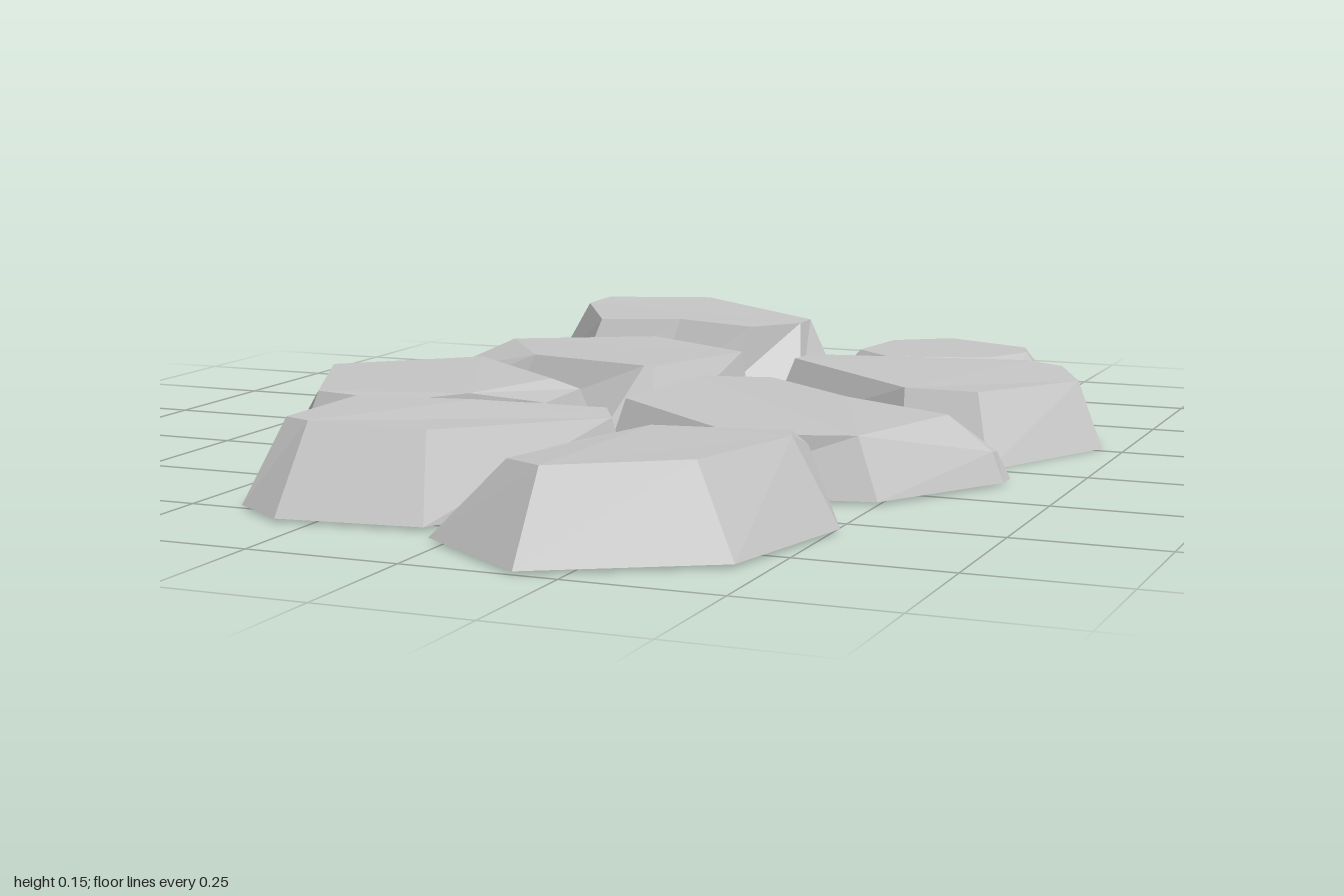
import * as THREE from 'three';

const stoneGrey = new THREE.MeshStandardMaterial({ color: 0xc6c6c6, flatShading: true });
stoneGrey.name = 'stoneGrey';

// One faceted stone. rim rows: [base x, base z, top x, top z, top y], clockwise from above.
// crown: extra points [x, z, y] on the top; caps: top facets as indices into rim + crown.
function stone(name, baseY, rim, crown = [], caps = [rim.map((_, i) => i)]) {
  const base = rim.map(([x, z]) => new THREE.Vector3(x, baseY, z));
  const top = [...rim.map((r) => r.slice(2)), ...crown].map(([x, z, y]) => new THREE.Vector3(x, y, z));
  const verts = [];
  const tri = (a, b, c) => verts.push(...a.toArray(), ...b.toArray(), ...c.toArray());

  // fill a polygon, facing up (1) or down (-1)
  const fill = (poly, facing) => {
    const flat = poly.map((p) => new THREE.Vector2(p.x, p.z));
    for (const [i, j, k] of THREE.ShapeUtils.triangulateShape(flat, [])) {
      const [a, b, c] = [poly[i], poly[j], poly[k]];
      const up = (b.z - a.z) * (c.x - a.x) - (b.x - a.x) * (c.z - a.z);
      if (up * facing > 0) tri(a, b, c);
      else tri(a, c, b);
    }
  };

  // sloping sides
  rim.forEach((_, i) => {
    const j = (i + 1) % rim.length;
    tri(base[i], top[i], base[j]);
    tri(top[i], top[j], base[j]);
  });
  fill(base, -1);
  caps.forEach((cap) => fill(cap.map((i) => top[i]), 1));

  const geometry = new THREE.BufferGeometry();
  geometry.setAttribute('position', new THREE.Float32BufferAttribute(verts, 3));
  geometry.computeVertexNormals();
  const mesh = new THREE.Mesh(geometry, stoneGrey);
  mesh.name = name;
  return mesh;
}

export function createModel() {
  const group = new THREE.Group();
  group.name = 'steppingStones';

  group.add(
    stone('backRightStone', 0.005, [
      [-0.30, -1.00, -0.29, -0.92, 0.15],
      [0.06, -0.75, 0.00, -0.74, 0.14],
      [0.03, -0.60, 0.00, -0.68, 0.14],
      [-0.12, -0.52, -0.07, -0.59, 0.14],
      [-0.26, -0.56, -0.23, -0.61, 0.145],
      [-0.43, -0.54, -0.39, -0.585, 0.14],
      [-0.59, -0.79, -0.50, -0.77, 0.145],
      [-0.54, -0.90, -0.49, -0.85, 0.15],
    ]),
    stone('smallBackStone', 0.03, [
      [0.26, -0.89, 0.26, -0.86, 0.10],
      [0.48, -0.81, 0.43, -0.79, 0.10],
      [0.50, -0.73, 0.45, -0.73, 0.10],
      [0.44, -0.58, 0.40, -0.63, 0.10],
      [0.18, -0.52, 0.22, -0.57, 0.10],
      [0.08, -0.62, 0.14, -0.64, 0.10],
      [0.13, -0.80, 0.16, -0.79, 0.10],
    ]),
    stone('backLeftStone', 0.005, [
      [0.33, -0.54, 0.33, -0.52, 0.10],
      [0.63, -0.46, 0.59, -0.45, 0.12],
      [0.71, -0.27, 0.66, -0.29, 0.12],
      [0.58, 0.00, 0.54, -0.07, 0.125],
      [0.42, -0.02, 0.41, -0.07, 0.125],
      [0.09, -0.25, 0.13, -0.29, 0.13],
      [0.10, -0.35, 0.14, -0.35, 0.13],
      [0.12, -0.46, 0.135, -0.45, 0.09],
    ], [[0.53, -0.43, 0.13]],
    [[6, 7, 0, 8], [0, 1, 8], [8, 1, 2, 3, 4, 5, 6]]),
    stone('middleRightStone', 0.005, [
      [-0.48, -0.47, -0.475, -0.465, 0.08],
      [-0.15, -0.49, -0.155, -0.485, 0.10],
      [0.03, -0.33, 0.01, -0.33, 0.13],
      [-0.04, 0.00, -0.07, -0.10, 0.13],
      [-0.14, 0.00, -0.09, -0.10, 0.13],
      [-0.40, -0.17, -0.36, -0.21, 0.12],
      [-0.63, -0.24, -0.62, -0.29, 0.06],
      [-0.63, -0.30, -0.61, -0.30, 0.06],
    ], [[-0.49, -0.39, 0.12], [-0.22, -0.46, 0.13]],
    [[7, 0, 8], [0, 1, 9, 8], [1, 2, 9], [8, 9, 2, 3, 4, 5], [5, 6, 7, 8]]),
    stone('outerRightStone', 0.01, [
      [-0.42, -0.15, -0.41, -0.12, 0.08],
      [-0.10, 0.06, -0.14, 0.07, 0.11],
      [-0.09, 0.25, -0.13, 0.23, 0.11],
      [-0.34, 0.39, -0.34, 0.36, 0.12],
      [-0.55, 0.35, -0.52, 0.32, 0.12],
      [-0.71, 0.06, -0.65, 0.04, 0.12],
      [-0.63, -0.06, -0.59, -0.06, 0.09],
    ], [[-0.41, -0.09, 0.13], [-0.18, 0.10, 0.13], [-0.24, 0.30, 0.13]],
    [[5, 6, 0, 7], [0, 1, 8, 7], [1, 2, 9, 8], [2, 3, 9], [7, 8, 9, 3, 4, 5]]),
    stone('middleLeftStone', 0.01, [
      [0.01, -0.11, 0.02, -0.09, 0.12],
      [0.17, -0.13, 0.16, -0.09, 0.125],
      [0.36, 0.01, 0.35, 0.06, 0.125],
      [0.64, 0.08, 0.62, 0.09, 0.055],
      [0.64, 0.12, 0.62, 0.12, 0.06],
      [0.50, 0.35, 0.46, 0.33, 0.11],
      [0.18, 0.42, 0.28, 0.39, 0.11],
      [-0.02, 0.24, 0.00, 0.19, 0.12],
    ], [[0.55, 0.14, 0.12]],
    [[2, 3, 8], [3, 4, 8], [4, 5, 8], [0, 1, 2, 8, 5, 6, 7]]),
    stone('frontRightStone', 0.01, [
      [-0.15, 0.30, -0.14, 0.31, 0.11],
      [0.02, 0.29, 0.01, 0.32, 0.115],
      [0.11, 0.41, 0.08, 0.43, 0.13],
      [-0.07, 0.79, -0.10, 0.72, 0.145],
      [-0.31, 0.82, -0.30, 0.73, 0.148],
      [-0.41, 0.75, -0.35, 0.71, 0.148],
      [-0.42, 0.50, -0.35, 0.49, 0.148],
    ], [[-0.16, 0.44, 0.146], [0.04, 0.36, 0.133]],
    [[6, 0, 7], [0, 1, 8, 7], [1, 2, 8], [7, 8, 2, 3, 4, 5, 6]]),
    stone('frontLeftStone', 0.01, [
      [0.18, 0.45, 0.18, 0.47, 0.12],
      [0.44, 0.46, 0.43, 0.48, 0.12],
      [0.51, 0.56, 0.44, 0.58, 0.15],
      [0.45, 0.84, 0.38, 0.81, 0.15],
      [0.18, 1.00, 0.17, 0.89, 0.14],
      [-0.03, 0.85, 0.08, 0.81, 0.13],
      [0.07, 0.64, 0.12, 0.69, 0.135],
    ], [[0.19, 0.53, 0.142], [0.42, 0.525, 0.148]],
    [[0, 1, 8, 7], [1, 2, 8], [6, 0, 7], [7, 8, 2, 3, 4, 5, 6]]),
  );
  return group;
}
